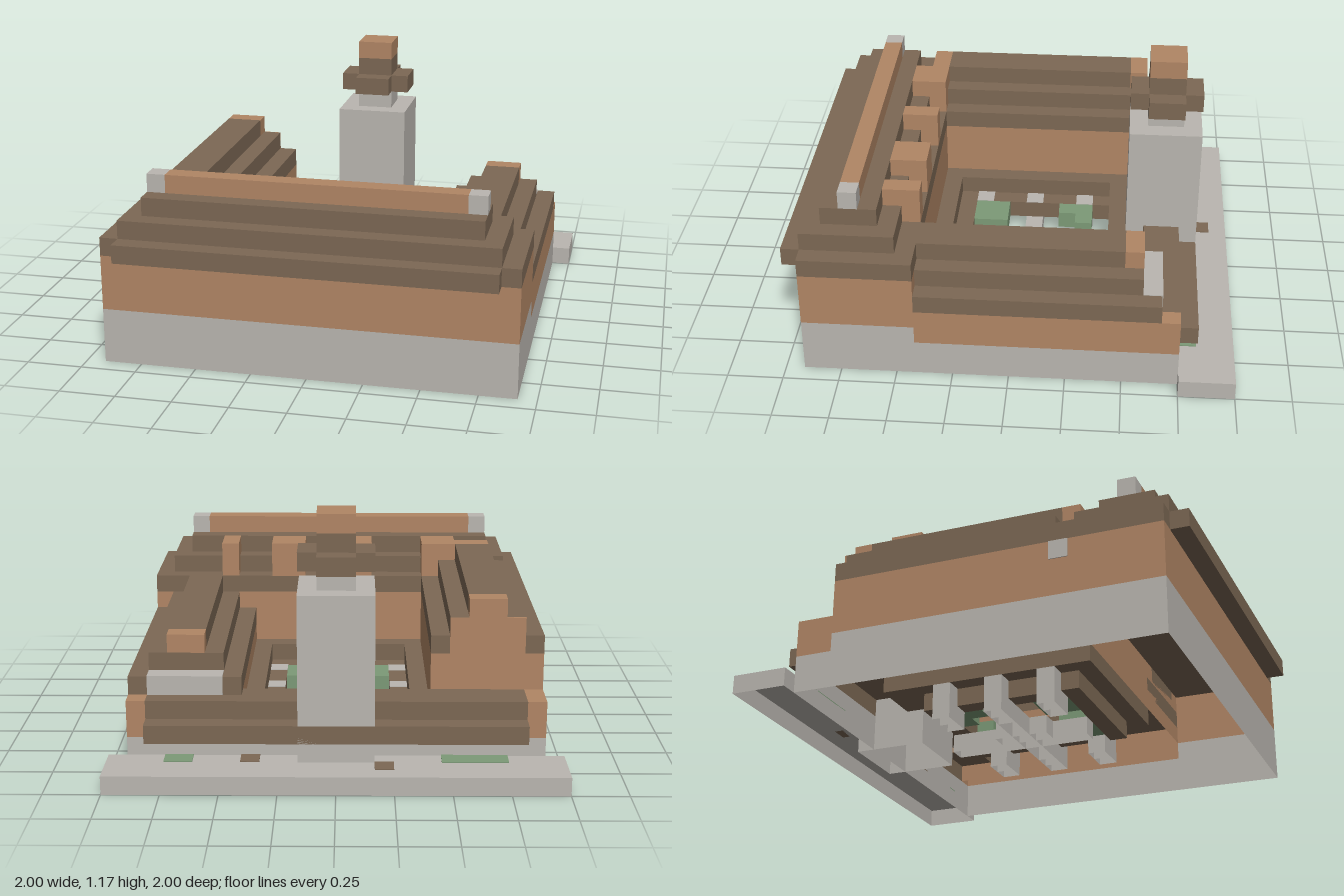
import * as THREE from 'three';

const U = 1 / 12; // one building block

export function createModel() {
  const root = new THREE.Group();
  root.name = 'courtyardHouse';

  const paint = (name, color) => {
    const m = new THREE.MeshStandardMaterial({ color, side: THREE.DoubleSide });
    m.name = name;
    return m;
  };
  const stone = paint('stone', 0xbab6b0);
  const clay = paint('clay', 0xb18665);
  const timber = paint('timber', 0x7c6854);
  const moss = paint('moss', 0x7c9a77);

  // Block from corner to corner in grid units; keep lists the sides to build:
  // r +x, l -x, t top, b bottom, f +z, k -z
  function block(parent, name, mat, [x0, x1, y0, y1, z0, z1], keep = 'rltbfk') {
    const g = new THREE.BoxGeometry((x1 - x0) * U, (y1 - y0) * U, (z1 - z0) * U);
    g.translate(((x0 + x1) / 2) * U, ((y0 + y1) / 2) * U, ((z0 + z1) / 2) * U);
    const index = Array.from(g.index.array);
    g.setIndex([...'rltbfk'].flatMap((s, i) => (keep.includes(s) ? index.slice(i * 6, i * 6 + 6) : [])));
    g.clearGroups();
    const mesh = new THREE.Mesh(g, mat);
    mesh.name = name;
    parent.add(mesh);
    return mesh;
  }
  function part(name) {
    const g = new THREE.Group();
    g.name = name;
    root.add(g);
    return g;
  }

  // Front hall: walls and stepped roof
  const hall = part('frontHall');
  block(hall, 'hallFooting', stone, [-11, 11, 0, 3, 5, 11], 'rlf');
  block(hall, 'hallWall', clay, [-11, 11, 3, 6, 5, 11], 'rlfk');
  block(hall, 'wallStone', stone, [-11.05, -10.95, 5, 6, 5, 6]);
  block(hall, 'roofStep', timber, [-11, 11, 6, 7, 5, 11]);
  block(hall, 'frontEave', timber, [-10, 10, 6, 7, 11, 12]);
  block(hall, 'roofStep', timber, [-10, 10, 7, 8, 6, 11]);
  block(hall, 'roofStep', timber, [-9, 9, 8, 9, 7, 10]);
  block(hall, 'ridge', clay, [-8, 8, 9, 10, 8, 9]);
  for (const x of [-9, 8]) block(hall, 'ridgeEnd', stone, [x, x + 1, 9, 10, 8, 9]);

  // Dormers on the courtyard slope
  for (const [x0, x1, z1] of [[-9, -7, 6], [-7, -5, 7], [-2, -1, 7], [2, 4, 7], [6, 7, 7]]) {
    block(hall, 'dormer', clay, [x0, x1, 7, 9, 5, z1]);
  }

  // Low wing on the +x side
  const low = part('leftWing');
  block(low, 'wingFooting', stone, [5, 11, 0, 2, -9, 5], 'rk');
  block(low, 'wingWall', clay, [5, 11, 2, 4, -9, 5], 'rl');
  block(low, 'cornerWall', clay, [10, 11, 2, 4, -9, -8], 'tkl');
  block(low, 'roofStep', timber, [5, 11, 4, 5, -8, 5]);
  block(low, 'roofStep', timber, [6, 10, 5, 6, -7, 5]);
  block(low, 'ridge', timber, [7, 9, 6, 7, -6, 5]);
  block(low, 'ridgeEnd', clay, [7, 9, 6, 7, -7, -6]);
  block(low, 'lintel', stone, [6, 10, 4, 5.04, -8.04, -7]);

  // Tall wing on the -x side
  const tall = part('rightWing');
  block(tall, 'wingFooting', stone, [-11, -5, 0, 3, -7, 5], 'l');
  block(tall, 'cornerFooting', stone, [-11, -5, 0, 2, -9, -7], 'lk');
  block(tall, 'cornerWall', clay, [-11, -10, 2, 4, -9, -7], 'rltk');
  block(tall, 'wingWall', clay, [-11, -5, 3, 6, -7, 5], 'rlk');
  block(tall, 'roofStep', timber, [-11, -5, 6, 7, -7, 5]);
  block(tall, 'roofStep', timber, [-10, -6, 7, 8, -7, 5]);
  block(tall, 'ridge', timber, [-9, -7, 8, 9, -6, 5]);
  block(tall, 'ridgeEnd', clay, [-9, -7, 8, 9, -7, -6]);
  block(tall, 'gable', clay, [-10, -6, 6, 8, -7.05, -6.95]);

  // Rear gallery with its stepped roof
  const rear = part('rearGallery');
  block(rear, 'rearWall', stone, [-5, 5, 0, 2, -9, -7], 'k');
  block(rear, 'rearEave', timber, [-10, 10, 2, 3, -10, -9]);
  block(rear, 'rearRoof', timber, [-10, 10, 3, 4, -9, -7]);

  // Pavement behind the house with growth under the eave
  const pave = part('pavement');
  block(pave, 'pavementSlab', stone, [-12, 12, 0, 1, -12, -9], 'rltfk');
  block(pave, 'soilPatch', timber, [-3, -2, 1, 1.05, -11, -10]);
  block(pave, 'mossPatch', moss, [-9, -5.5, 1, 1.05, -10, -9]);
  block(pave, 'mossPatch', moss, [7.5, 9, 1, 1.05, -10, -9]);
  block(pave, 'soilPatch', timber, [4, 5, 1, 1.05, -10, -9]);

  // Cloister roof around the courtyard
  const cloister = part('cloister');
  block(cloister, 'rearCloisterRoof', timber, [-5, 5, 2, 3, -7, -5]);
  block(cloister, 'frontCloisterRoof', timber, [-5, 5, 2, 3, 4, 5]);
  block(cloister, 'frontCloisterEdge', timber, [-4, 4, 1, 2, 3, 4]);
  for (const s of [-1, 1]) {
    const span = (a, b) => (s > 0 ? [a, b] : [-b, -a]);
    block(cloister, 'sideCloisterRoof', timber, [...span(4, 5), 2, 3, -5, 4]);
    block(cloister, 'sideCloisterEdge', timber, [...span(3, 4), 1, 2, -5, 3]);
    for (const z of [-4, -1, 2]) {
      block(cloister, 'post', stone, [...span(3, 4), 0, 2.04, z, z + 1], 'rltfk');
      block(cloister, 'postFoot', stone, [...span(4, 5), 0, 2, z, z + 1], 'rltfk');
    }
  }

  // Courtyard paths and planting
  const yard = part('courtyard');
  block(yard, 'longPath', stone, [0, 1, 0, 1, -5, 3], 'rltfk');
  block(yard, 'crossPath', stone, [-3, 3, 0, 1, -1, 0], 'tfk');
  block(yard, 'pathCentre', stone, [-1, 0, 0, 1, -2, 1], 'rltfk');
  for (const [x0, x1, z0, z1] of [
    [-3, -1, -4, -3], [-3, -2, -3, -2], [1, 3, -4, -3], [2, 3, -3, -2], [-3, -1, 1, 3], [1, 3, 1, 3],
  ]) block(yard, 'shrub', moss, [x0, x1, 1, 2, z0, z1]);

  // Tower with a cross-shaped cap
  const tower = part('tower');
  block(tower, 'towerShaft', stone, [-2, 2, 0, 10, -10, -6], 'rltfk');
  block(tower, 'towerNeck', stone, [-1, 1, 10, 11, -9, -7]);
  block(tower, 'capCore', timber, [-1, 1, 11, 12, -10, -6]);
  for (const x of [-2, 1]) block(tower, 'capArm', timber, [x, x + 1, 11, 12, -9, -7]);
  block(tower, 'lanternBase', timber, [-1, 1, 12, 13, -9, -7]);
  block(tower, 'lanternTop', clay, [-1, 1, 13, 14, -9, -7]);

  return root;
}
